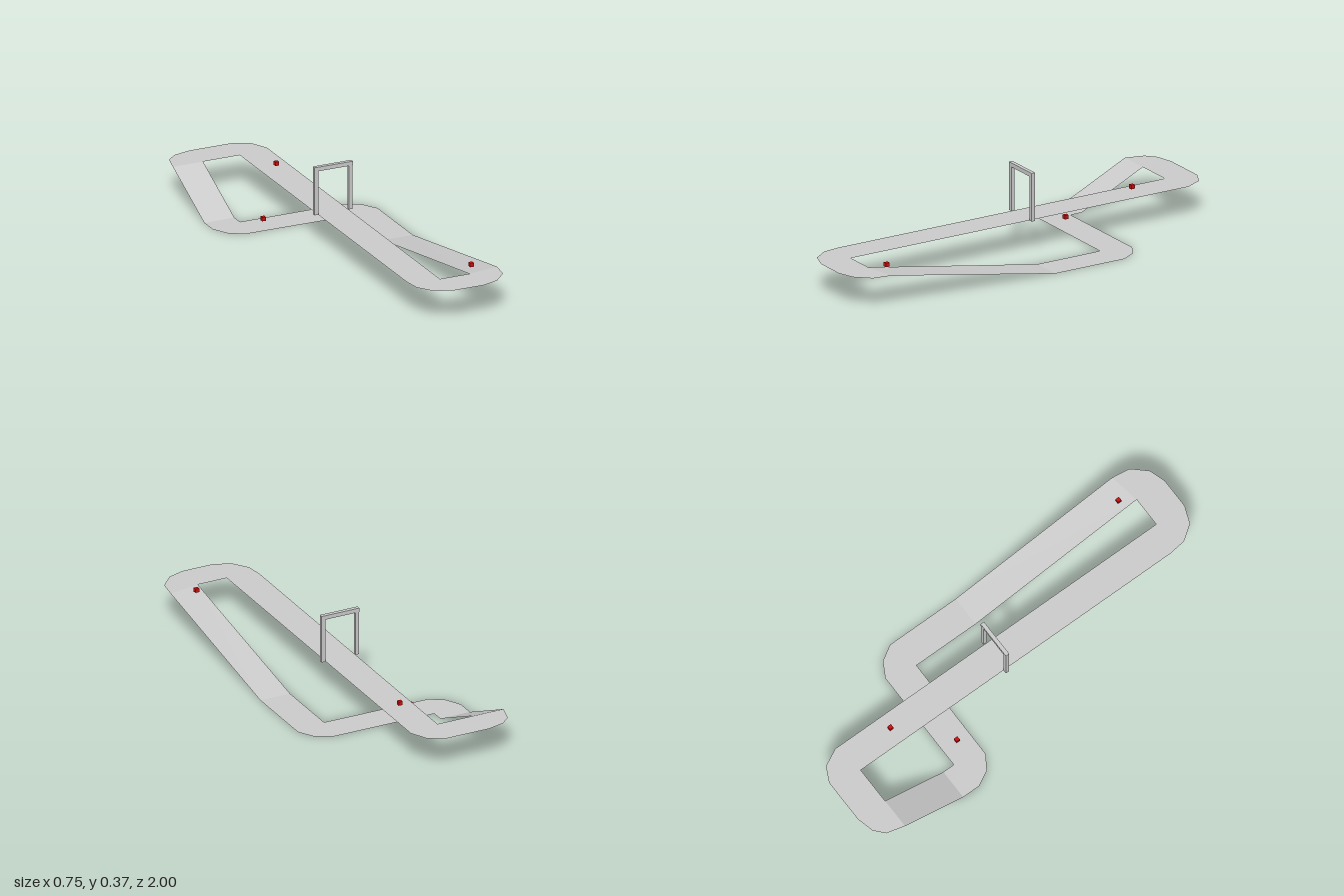
import * as THREE from 'three';

const DECK = 0.15; // height of the raised level

export function createModel() {
  const group = new THREE.Group();
  const road = new THREE.MeshStandardMaterial({ color: 0xcccccc, side: THREE.DoubleSide, flatShading: true });
  const grey = new THREE.MeshStandardMaterial({ color: 0xcccccc });
  const red = new THREE.MeshStandardMaterial({ color: 0xcc1111 });

  const add = (name, geometry, material, x = 0, y = 0, z = 0) => {
    const mesh = new THREE.Mesh(geometry, material);
    mesh.name = name;
    mesh.position.set(x, y, z);
    group.add(mesh);
  };

  // Flat road section from an outline of [x, z] corners
  const flatRoad = (name, outline, y) => {
    const shape = new THREE.Shape(outline.map(([x, z]) => new THREE.Vector2(x, -z)));
    add(name, new THREE.ShapeGeometry(shape).rotateX(-Math.PI / 2), road, 0, y);
  };

  // Sloped strip between a front edge and a back edge, each [left, right] as [x, y, z]
  const ramp = (name, front, back) => {
    const geometry = new THREE.BufferGeometry();
    geometry.setAttribute('position', new THREE.Float32BufferAttribute([...front, ...back].flat(), 3));
    geometry.setIndex([0, 1, 3, 0, 3, 2]);
    geometry.computeVertexNormals();
    add(name, geometry, road);
  };

  // Raised road: back turn, long straight and front turn
  flatRoad('upperRoad', [
    [-0.377, -0.855], [-0.355, -0.94], [-0.31, -0.98], [-0.23, -1],
    [-0.02, -1], [0.05, -0.965], [0.09, -0.885],
    [0.09, 0.85], [0.232, 0.85], [0.377, 0.825],
    [0.365, 0.91], [0.305, 0.975], [0.23, 1],
    [0.085, 1], [0.005, 0.97], [-0.045, 0.9], [-0.055, 0.82],
    [-0.055, -0.855], [-0.232, -0.855],
  ], DECK);

  // Ground road passing under the straight
  flatRoad('lowerRoad', [
    [0.377, -0.02], [0.377, -0.375], [0.335, -0.445], [0.265, -0.484],
    [-0.232, -0.484], [-0.232, -0.54], [-0.377, -0.54],
    [-0.377, -0.455], [-0.34, -0.385], [-0.275, -0.343],
    [0.232, -0.34], [0.232, -0.02],
  ], 0);

  ramp('longRamp',
    [[0.232, DECK, 0.85], [0.377, DECK, 0.825]],
    [[0.232, 0, -0.02], [0.377, 0, -0.02]]);
  ramp('shortRamp',
    [[-0.377, 0, -0.54], [-0.232, 0, -0.54]],
    [[-0.377, DECK, -0.855], [-0.232, DECK, -0.855]]);

  // Start gate
  for (const [name, x] of [['gatePostRight', -0.064], ['gatePostLeft', 0.101]]) {
    add(name, new THREE.BoxGeometry(0.018, 0.203, 0.016), grey, x, 0.2515, -0.075);
  }
  add('gateBeam', new THREE.BoxGeometry(0.184, 0.019, 0.018), grey, 0.0185, 0.3625, -0.075);

  // Small red marker cubes along the road
  const markers = [[0.018, 0.176, -0.64], [-0.156, 0.029, -0.41], [0.273, 0.163, 0.782]];
  markers.forEach((p, i) => add(`marker${i + 1}`, new THREE.BoxGeometry(0.018, 0.018, 0.018), red, ...p));

  return group;
}
